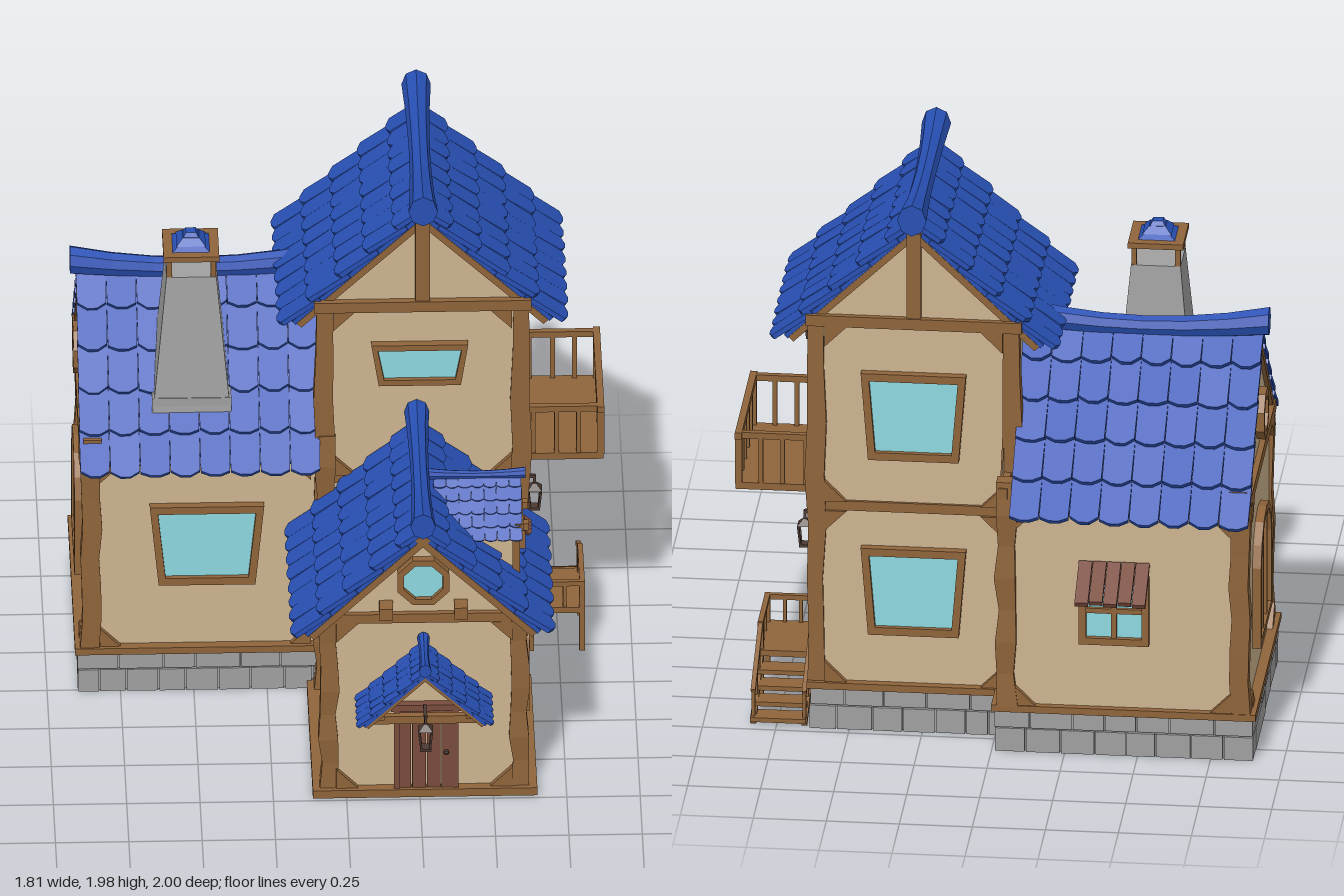
import * as THREE from 'three';
import { mergeGeometries } from 'three/addons/utils/BufferGeometryUtils.js';

const BLUE = 0x2850b4, WALL = 0xcdb48f, WOOD = 0x8f643a, STONE = 0xa0a0a0, DOOR = 0x7a4c3e, GLASS = 0x8dd8e0, IRON = 0x4c3a32;
const V = (x, y, z) => new THREE.Vector3(x, y, z);
let seed = 7;
const rnd = () => (seed = (seed * 16807) % 2147483647) / 2147483647 - 0.5;

export function createModel() {
  seed = 7;
  const root = new THREE.Group();
  const mats = {};
  const mat = (c, two) => mats[c + '' + two] ??= new THREE.MeshStandardMaterial({ color: c, flatShading: true, side: two ? THREE.DoubleSide : THREE.FrontSide });
  const add = (name, geo, color, x = 0, y = 0, z = 0, parent = root, two = false) => {
    const m = new THREE.Mesh(geo, mat(color, two));
    m.name = name;
    m.position.set(x, y, z);
    parent.add(m);
    return m;
  };
  const group = (name, x, y, z, ry = 0, parent = root) => {
    const g = new THREE.Group();
    g.name = name;
    g.position.set(x, y, z);
    g.rotation.y = ry;
    parent.add(g);
    return g;
  };
  // box given by its limits
  const block = (name, x0, x1, y0, y1, z0, z1, color = WOOD, parent = root) =>
    add(name, new THREE.BoxGeometry(x1 - x0, y1 - y0, z1 - z0), color, (x0 + x1) / 2, (y0 + y1) / 2, (z0 + z1) / 2, parent);
  // square bar between two points
  const bar = (name, a, b, t, color = WOOD, parent = root) => {
    const m = add(name, new THREE.BoxGeometry(t, t, a.distanceTo(b)), color, 0, 0, 0, parent);
    m.position.copy(a).add(b).multiplyScalar(0.5);
    m.quaternion.setFromUnitVectors(V(0, 0, 1), b.clone().sub(a).normalize());
    return m;
  };
  const shapeOf = (pts) => new THREE.Shape(pts.map(p => new THREE.Vector2(p[0], p[1])));
  const extrude = (shape, depth) => new THREE.ExtrudeGeometry(shape, { depth, bevelEnabled: false });
  const FRONT = 0, RIGHT = Math.PI / 2, BACK = Math.PI, LEFT = -Math.PI / 2;

  // crooked corner post
  const post = (x, z, y0, y1, t = 0.065) => {
    const geo = new THREE.BoxGeometry(t, y1 - y0, t, 1, 7, 1), p = geo.attributes.position;
    for (let i = 0; i < p.count; i++) {
      const k = 1 + 0.13 * Math.sin(p.getY(i) * 27 + x * 9);
      p.setXYZ(i, p.getX(i) * k + 0.005 * Math.sin(p.getY(i) * 19), p.getY(i), p.getZ(i) * k);
    }
    add('cornerPost', geo, WOOD, x, (y0 + y1) / 2, z);
  };
  // triangular braces in the corners of a wall panel
  const braces = (x, y, z, ry, w, h, s = 0.075) => {
    const g = group('cornerBraces', x, y, z, ry);
    for (const sx of [-1, 1]) for (const sy of [-1, 1]) {
      const X = sx * w / 2, Y = sy * h / 2, pts = [[X, Y], [X - sx * s, Y], [X, Y - sy * s]];
      add('brace', extrude(shapeOf(sx * sy > 0 ? pts : pts.reverse()), 0.02), WOOD, 0, 0, 0, g);
    }
  };
  // framed pane of any outline
  const windowOf = (name, pts, border, x, y, z, ry, bars = []) => {
    const g = group(name, x, y, z, ry);
    const w = Math.max(...pts.map(p => p[0])), h = Math.max(...pts.map(p => p[1]));
    const inner = pts.map(p => [p[0] * (1 - border / w), p[1] * (1 - border / h)]);
    const frame = shapeOf(pts);
    frame.holes.push(shapeOf(inner));
    add('windowFrame', extrude(frame, 0.03), WOOD, 0, 0, 0, g);
    add('windowPane', new THREE.ShapeGeometry(shapeOf(inner)), GLASS, 0, 0, 0.012, g, true);
    for (const [x0, y0, x1, y1] of bars) bar('mullion', V(x0, y0, 0.016), V(x1, y1, 0.016), 0.018, WOOD, g);
  };
  const quad = (w, h, b = w) => [[-b / 2, -h / 2], [b / 2, -h / 2], [w / 2, h / 2], [-w / 2, h / 2]];
  const octagon = r => [...Array(8)].map((_, i) => [r * Math.cos((i + 0.5) * Math.PI / 4), r * Math.sin((i + 0.5) * Math.PI / 4)]);
  const arch = (w, h) => [[-w / 2, -h / 2], [w / 2, -h / 2], ...[...Array(7)].map((_, i) =>
    [w / 2 * Math.cos(i * Math.PI / 6), h / 2 - w * 0.4 + w * 0.4 * Math.sin(i * Math.PI / 6)])];
  const archWindow = (w, h, x, y, z, ry) => windowOf('archedWindow', arch(w, h), 0.025, x, y, z, ry,
    [-1, 1].map(s => [s * w * 0.16, -h / 2 + 0.02, s * w * 0.16, h * 0.42]));
  // plank door
  const door = (x, y, z, ry, w, h) => {
    const g = group('door', x, y, z, ry);
    for (let i = 0; i < 4; i++) block('doorPlank', -w / 2 + i * w / 4 + 0.002, -w / 2 + (i + 1) * w / 4 - 0.002, 0, h - 0.012 * (i % 2), 0, 0.02 + 0.003 * (i % 2), DOOR, g);
    for (const s of [-1, 1]) block('doorJamb', s * w / 2 - 0.01, s * w / 2 + 0.01, 0, h, 0, 0.026, DOOR, g);
    block('doorLintel', -w / 2 - 0.02, w / 2 + 0.02, h - 0.012, h + 0.012, 0, 0.03, DOOR, g);
    add('doorKnob', new THREE.SphereGeometry(0.01, 6, 4), IRON, w * 0.34, h * 0.45, 0.03, g);
  };
  // open wall shell with gables across local z
  const walls = (name, x, z, ry, w, d, y0, y1, apex) => {
    const g = group(name, x, 0, z, ry);
    const gable = shapeOf([[-w / 2, y0], [w / 2, y0], [w / 2, y1], [0, apex], [-w / 2, y1]]);
    for (const s of [-1, 1]) {
      add('gableWall', new THREE.ShapeGeometry(gable), WALL, 0, 0, s * d / 2, g, true);
      add('sideWall', new THREE.PlaneGeometry(d, y1 - y0), WALL, s * w / 2, (y0 + y1) / 2, 0, g, true).rotation.y = Math.PI / 2;
    }
  };
  // pointed-shingle gable roof with a sagging ridge cap, ridge along local z
  const roof = (name, x, apex, z, ry, half, drop, len, rows, cols, capR, capLen, lift) => {
    const g = group(name, x, apex, z, ry);
    const slope = Math.hypot(half, drop), c = half / slope, s = drop / slope;
    const pitch = slope / rows, tw = len / cols, th = Math.min(0.018, pitch * 0.15);
    for (const side of [1, -1]) {
      const tiles = [];
      for (let r = 0; r < rows; r++) for (let i = 0; i < cols; i++) {
        const w = tw * 0.5, top = r ? -0.3 * pitch : 0, end = pitch * (0.88 + 0.08 * rnd());
        const geo = extrude(shapeOf([[-w, top], [w, top], [w * 0.97, end], [w * 0.3, pitch], [-w * 0.35, pitch], [-w * 0.97, end]]), th);
        geo.rotateX(0.14 + 0.05 * rnd());
        geo.translate(-len / 2 + (i + 0.5) * tw, r * pitch, -th * 1.2);
        tiles.push(geo);
      }
      const frame = new THREE.Matrix4().makeBasis(V(0, 0, side), V(side * c, -s, 0), V(side * s, c, 0));
      add('roofShingles', mergeGeometries(tiles).applyMatrix4(frame), BLUE, 0, 0, 0, g);
      const deck = new THREE.BoxGeometry(len * 0.98, slope * 0.93, th).translate(0, slope * 0.465, -th * 1.4);
      add('roofDeck', deck.applyMatrix4(frame), BLUE, 0, 0, 0, g);
      for (const e of [-1, 1]) {
        const rafter = new THREE.BoxGeometry(0.02, slope * 0.92, th * 1.3).translate(e * (len / 2 - 0.015), slope * 0.46, -th * 2.4);
        add('rafter', rafter.applyMatrix4(frame), WOOD, 0, 0, 0, g);
      }
    }
    const cap = new THREE.CylinderGeometry(capR, capR, capLen, 8, 6).rotateX(Math.PI / 2), p = cap.attributes.position;
    for (let i = 0; i < p.count; i++) {
      const t = (p.getZ(i) / capLen * 2) ** 2, k = 0.72 + 0.28 * t;
      p.setXY(i, p.getX(i) * k, p.getY(i) * k * 1.15 + lift * t);
    }
    add('ridgeCap', cap, BLUE, 0, 0, 0, g);
  };
  // hanging lantern on a wall bracket
  const lantern = (x, y, z, ry, reach = 0.045) => {
    const g = group('lantern', x, y, z, ry);
    bar('bracket', V(0, 0.06, 0), V(0, 0.06, reach), 0.012, IRON, g);
    bar('hook', V(0, 0.065, reach), V(0, 0.02, reach), 0.009, IRON, g);
    add('lanternCap', new THREE.CylinderGeometry(0.008, 0.036, 0.022, 4).rotateY(Math.PI / 4), IRON, 0, 0.022, reach, g);
    for (const sx of [-1, 1]) for (const sz of [-1, 1])
      bar('lanternEdge', V(sx * 0.022, 0.012, reach + sz * 0.022), V(sx * 0.015, -0.06, reach + sz * 0.015), 0.007, IRON, g);
    block('lanternFoot', -0.019, 0.019, -0.068, -0.058, reach - 0.019, reach + 0.019, IRON, g);
  };
  // rectangular ring between two heights
  const ring = (name, x0, x1, z0, z1, y0, y1, t, color) => {
    const s = shapeOf([[x0, -z1], [x1, -z1], [x1, -z0], [x0, -z0]]);
    s.holes.push(shapeOf([[x0 + t, -z1 + t], [x1 - t, -z1 + t], [x1 - t, -z0 - t], [x0 + t, -z0 - t]]));
    add(name, extrude(s, y1 - y0).rotateX(-Math.PI / 2), color, 0, y0, 0);
  };
  // stone footing in two courses with a timber sill
  const footing = (x0, x1, z0, z1) => {
    ring('footing', x0 + 0.012, x1 - 0.012, z0 + 0.012, z1 - 0.012, 0, 0.15, 0.04, STONE);
    const bricks = [];
    for (const [ry, len, dist] of [[FRONT, x1 - x0, (z1 - z0) / 2], [RIGHT, z1 - z0, (x1 - x0) / 2], [BACK, x1 - x0, (z1 - z0) / 2], [LEFT, z1 - z0, (x1 - x0) / 2]])
      for (let row = 0; row < 2; row++) {
        for (let a = -len / 2; a < len / 2 - 0.01;) {
          let b = a + 0.1 + 0.05 * rnd() + 0.03 * row;
          if (b > len / 2 - 0.05) b = len / 2;
          const h = row ? 0.06 : 0.085;
          bricks.push(new THREE.BoxGeometry(b - a - 0.005, h, 0.025).translate((a + b) / 2, row ? 0.12 : 0.043, dist - 0.0125 + 0.004 * rnd()).rotateY(ry).translate((x0 + x1) / 2, 0, (z0 + z1) / 2));
          a = b;
        }
      }
    add('footingStones', mergeGeometries(bricks), STONE);
    ring('sill', x0 - 0.01, x1 + 0.01, z0 - 0.01, z1 + 0.01, 0.15, 0.175, 0.05, WOOD);
  };

  // side wing
  footing(-0.895, -0.01, -0.85, 0.01);
  walls('wingWalls', -0.45, -0.425, RIGHT, 0.82, 0.84, 0.15, 0.97, 1.37);
  for (const z of [-0.825, -0.02]) for (const x of [-0.85, -0.05]) post(x, z, 0.17, 1.0);
  roof('wingRoof', -0.48, 1.42, -0.43, RIGHT, 0.53, 0.52, 0.82, 5, 8, 0.045, 0.86, 0.035);
  for (const x of [-0.875, -0.04]) block('wingGableBeam', x - 0.015, x + 0.015, 0.94, 0.98, -0.86, 0);
  block('wingTopBeam', -0.88, -0.08, 0.9, 0.94, -0.03, 0.01);
  block('wingTopBeam', -0.88, -0.03, 0.9, 0.94, -0.855, -0.825);
  windowOf('wingWindow', quad(0.39, 0.31, 0.33), 0.028, -0.455, 0.575, -0.015, FRONT);
  archWindow(0.38, 0.45, -0.87, 0.54, -0.425, LEFT);
  windowOf('wingRoundWindow', octagon(0.09), 0.025, -0.87, 1.11, -0.425, LEFT);
  windowOf('wingBackWindow', quad(0.24, 0.25), 0.025, -0.42, 0.54, -0.835, BACK, [[0, -0.11, 0, 0.11], [-0.1, 0, 0.1, 0]]);
  for (let i = 0; i < 5; i++) bar('awningPlank', V(-0.518 + i * 0.049, 0.71, -0.84), V(-0.518 + i * 0.049, 0.62 + 0.006 * (i % 2), -0.995), 0.02, DOOR).scale.x = 2.3;
  braces(-0.46, 0.535, -0.015, FRONT, 0.72, 0.73);
  braces(-0.45, 0.535, -0.835, BACK, 0.74, 0.73);
  braces(-0.87, 0.555, -0.425, LEFT, 0.74, 0.77);

  // tower
  footing(-0.08, 0.635, -0.72, 0.01);
  walls('towerWalls', 0.28, -0.355, 0, 0.68, 0.69, 0.15, 1.5, 1.85);
  for (const z of [-0.685, -0.03]) for (const x of [-0.055, 0.615]) post(x, z, 0.17, 1.52, 0.06);
  roof('towerRoof', 0.28, 1.9, -0.355, 0, 0.49, 0.47, 0.71, 5, 8, 0.05, 0.84, 0.025);
  ring('towerMidBeam', -0.075, 0.635, -0.71, 0, 0.81, 0.845, 0.04, WOOD);
  for (const z of [-0.7, -0.005]) {
    block('towerGableBeam', -0.09, 0.65, 1.495, 1.535, z - 0.02, z + 0.02);
    block('kingPost', 0.255, 0.305, 1.53, 1.85, z - 0.014, z + 0.014);
  }
  windowOf('towerFrontWindow', quad(0.33, 0.16, 0.28), 0.022, 0.27, 1.285, -0.01, FRONT);
  for (const y of [0.52, 1.17]) windowOf('towerBackWindow', quad(0.36, 0.32, 0.31), 0.028, 0.28, y, -0.7, BACK);
  windowOf('towerRoundWindow', octagon(0.098), 0.022, 0.62, 0.665, -0.355, RIGHT);
  windowOf('balconyDoor', quad(0.33, 0.41, 0.27), 0.022, 0.62, 1.06, -0.35, RIGHT);
  door(0.62, 0.175, -0.355, RIGHT, 0.21, 0.32);
  for (const [y0, y1] of [[0.175, 0.81], [0.845, 1.495]]) {
    braces(0.62, (y0 + y1) / 2, -0.355, RIGHT, 0.6, y1 - y0, 0.055);
    braces(0.28, (y0 + y1) / 2, -0.7, BACK, 0.61, y1 - y0);
  }
  braces(0.28, 1.17, -0.01, FRONT, 0.61, 0.65);
  for (const [y, z] of [[0.685, -0.135], [0.685, -0.58], [1.36, -0.35]]) lantern(0.62, y, z, RIGHT);

  // balcony
  block('balconyFloor', 0.62, 0.9, 0.83, 0.855, -0.61, -0.1);
  for (const z of [-0.6, -0.11]) {
    bar('balconyRail', V(0.63, 1.03, z), V(0.9, 1.03, z), 0.022);
    for (const x of [0.66, 0.74, 0.815, 0.89]) bar('baluster', V(x, 0.85, z), V(x, 1.03, z), x > 0.88 ? 0.024 : 0.016);
  }
  bar('balconyRail', V(0.89, 1.03, -0.62), V(0.89, 1.03, -0.09), 0.024);
  for (let i = 1; i < 5; i++) bar('baluster', V(0.89, 0.85, -0.11 - i * 0.098), V(0.89, 1.03, -0.11 - i * 0.098), 0.016);

  // side landing and stairs
  block('landing', 0.63, 0.84, 0.15, 0.172, -0.47, -0.21);
  for (let i = 0; i < 4; i++) block('stairTread', 0.65, 0.84, 0.115 - i * 0.034, 0.131 - i * 0.034, -0.545 - i * 0.058, -0.47 - i * 0.058);
  for (const x of [0.655, 0.83]) {
    bar('stairStringer', V(x, 0.14, -0.46), V(x, 0.01, -0.71), 0.02);
    bar('stairRail', V(x, 0.265, -0.45), V(x, 0.125, -0.71), 0.016);
    for (const z of [-0.22, -0.45]) if (x > 0.7 || z > -0.4) bar('landingPost', V(x, 0, z), V(x, 0.27, z), 0.02);
    for (const [z, y] of [[-0.53, 0.1], [-0.61, 0.06], [-0.7, 0.015]]) bar('stairBaluster', V(x, y, z), V(x, y + 0.12, z), 0.012);
  }
  bar('landingRail', V(0.83, 0.265, -0.21), V(0.83, 0.265, -0.46), 0.018);
  bar('landingRail', V(0.64, 0.265, -0.22), V(0.84, 0.265, -0.22), 0.018);
  for (const x of [0.715, 0.77]) bar('baluster', V(x, 0.17, -0.22), V(x, 0.265, -0.22), 0.012);
  for (const z of [-0.3, -0.38]) bar('baluster', V(0.83, 0.17, z), V(0.83, 0.265, z), 0.012);

  // front house
  ring('frontSill', -0.115, 0.65, -0.01, 0.735, 0, 0.03, 0.06, WOOD);
  walls('frontWalls', 0.265, 0.355, 0, 0.67, 0.69, 0.01, 0.69, 1.02);
  for (const z of [0.04, 0.685]) for (const x of [-0.06, 0.59]) post(x, z, 0.03, 0.7, 0.06);
  roof('frontRoof', 0.26, 1.065, 0.365, 0, 0.445, 0.435, 0.73, 5, 8, 0.043, 0.77, 0.02);
  block('frontGableBeam', -0.03, 0.56, 0.685, 0.72, 0.69, 0.72);
  for (const x of [0.135, 0.39]) block('beamEnd', x - 0.023, x + 0.023, 0.72, 0.765, 0.66, 0.76);
  windowOf('frontRoundWindow', octagon(0.095), 0.022, 0.262, 0.85, 0.7, FRONT);
  door(0.272, 0.03, 0.7, FRONT, 0.2, 0.32);
  archWindow(0.3, 0.34, 0.6, 0.37, 0.36, RIGHT);
  braces(0.265, 0.357, 0.7, FRONT, 0.6, 0.655);
  braces(0.6, 0.34, 0.36, RIGHT, 0.6, 0.62, 0.06);

  // porch canopy
  roof('porchRoof', 0.262, 0.615, 0.825, 0, 0.232, 0.222, 0.21, 5, 5, 0.022, 0.22, 0.006);
  block('porchBeam', 0.085, 0.45, 0.395, 0.425, 0.88, 0.905);
  for (const x of [0.11, 0.415]) block('porchSideBeam', x - 0.014, x + 0.014, 0.42, 0.445, 0.7, 0.92);
  lantern(0.262, 0.405, 0.9, FRONT, 0.075);

  // dormer
  walls('dormerWalls', 0.46, 0.37, RIGHT, 0.24, 0.26, 0.74, 0.93, 1.03);
  roof('dormerRoof', 0.455, 1.06, 0.37, RIGHT, 0.17, 0.165, 0.3, 5, 7, 0.018, 0.33, 0.006);
  block('dormerBeam', 0.58, 0.61, 0.915, 0.94, 0.235, 0.505);
  for (const z of [0.25, 0.49]) block('dormerPost', 0.572, 0.598, 0.74, 0.92, z - 0.013, z + 0.013);
  for (const z of [0.3, 0.44]) block('dormerBeamEnd', 0.58, 0.63, 0.885, 0.912, z - 0.014, z + 0.014);
  windowOf('dormerWindow', quad(0.085, 0.085), 0.012, 0.588, 0.83, 0.37, RIGHT, [[0, -0.035, 0, 0.035]]);
  for (let i = 0; i < 4; i++) bar('dormerAwningPlank', V(0.59, 0.88, 0.337 + i * 0.022), V(0.635, 0.845, 0.337 + i * 0.022), 0.018, DOOR);

  // chimney
  const stack = new THREE.CylinderGeometry(0.085 * Math.SQRT2, 0.135 * Math.SQRT2, 0.54, 4).rotateY(Math.PI / 4);
  add('chimneyStack', stack, STONE, -0.505, 1.305, -0.19);
  block('chimneyFoot', -0.64, -0.37, 1.04, 1.12, -0.32, -0.06, STONE);
  for (const [x, y, z] of [[-0.565, 1.35, -0.095], [-0.45, 1.29, -0.09]]) block('chimneyStone', x - 0.035, x + 0.035, y - 0.018, y + 0.018, z - 0.03, z + 0.005, 0x808080);
  for (const x of [-0.58, -0.43]) for (const z of [-0.265, -0.115]) bar('chimneyPost', V(x, 1.57, z), V(x, 1.66, z), 0.018);
  ring('chimneyFrame', -0.6, -0.41, -0.285, -0.095, 1.64, 1.66, 0.04, WOOD);
  [[0.07, 1.66], [0.05, 1.68], [0.03, 1.695]].forEach(([r, y]) =>
    add('chimneyCap', new THREE.CylinderGeometry(r * 0.8, r * 1.41, 0.022, 4).rotateY(Math.PI / 4), BLUE, -0.505, y + 0.006, -0.19));
  return root;
}
